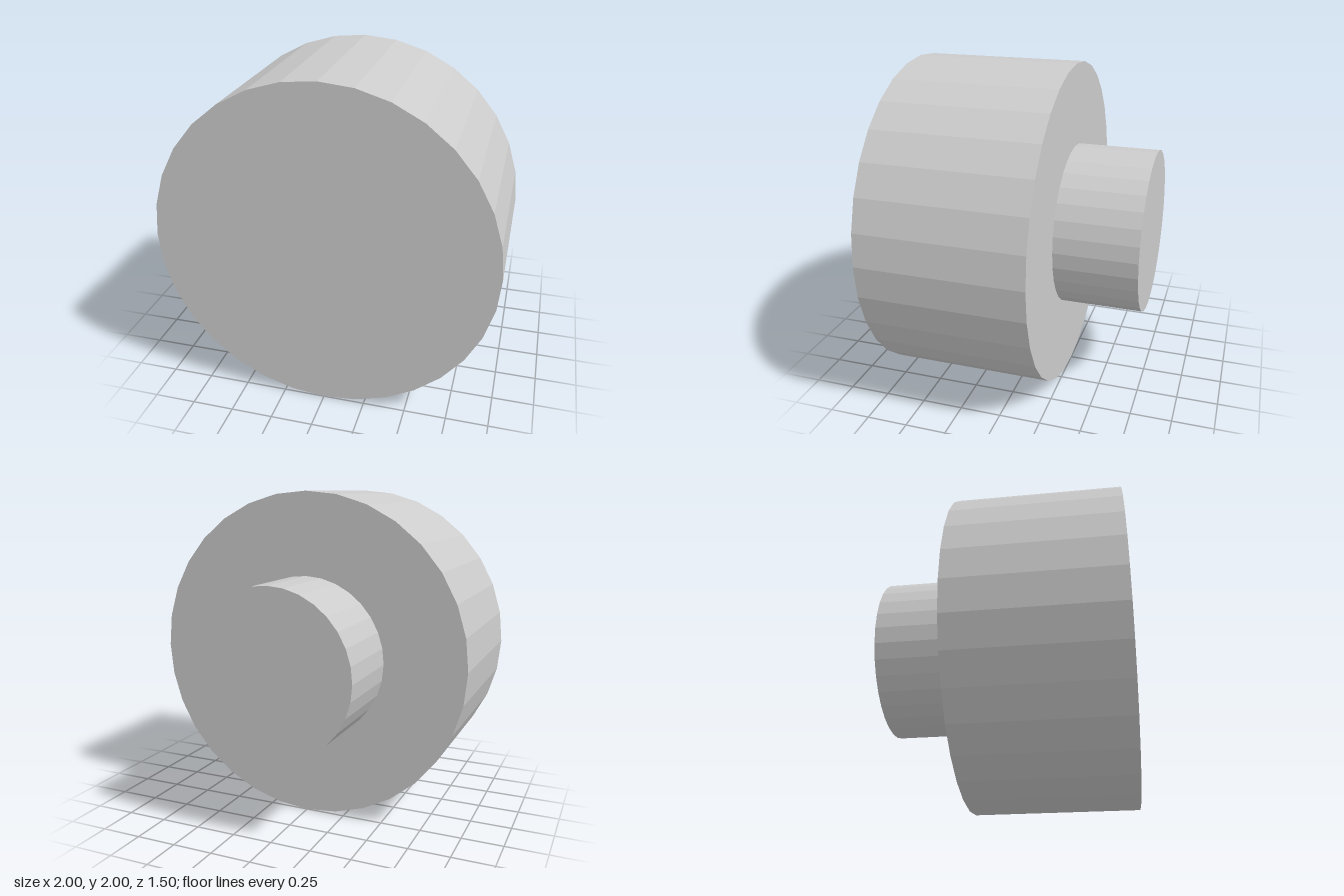
import * as THREE from 'three';

const SIDES = 32;

// Faceted cylinder lying along z, from zBack to zFront, centred at height 1
function drum(name, radius, zBack, zFront, material) {
  const geometry = new THREE.CylinderGeometry(radius, radius, zFront - zBack, SIDES);
  geometry.rotateX(Math.PI / 2);
  const mesh = new THREE.Mesh(geometry, material);
  mesh.name = name;
  mesh.position.set(0, 1, (zBack + zFront) / 2);
  return mesh;
}

export function createModel() {
  const material = new THREE.MeshStandardMaterial({ color: 0xcccccc, flatShading: true });
  const model = new THREE.Group();
  model.name = 'steppedKnob';

  // Wide front body and the narrower stem behind it
  model.add(drum('body', 1, -0.25, 0.75, material));
  model.add(drum('stem', 0.5, -0.75, -0.25, material));

  return model;
}
